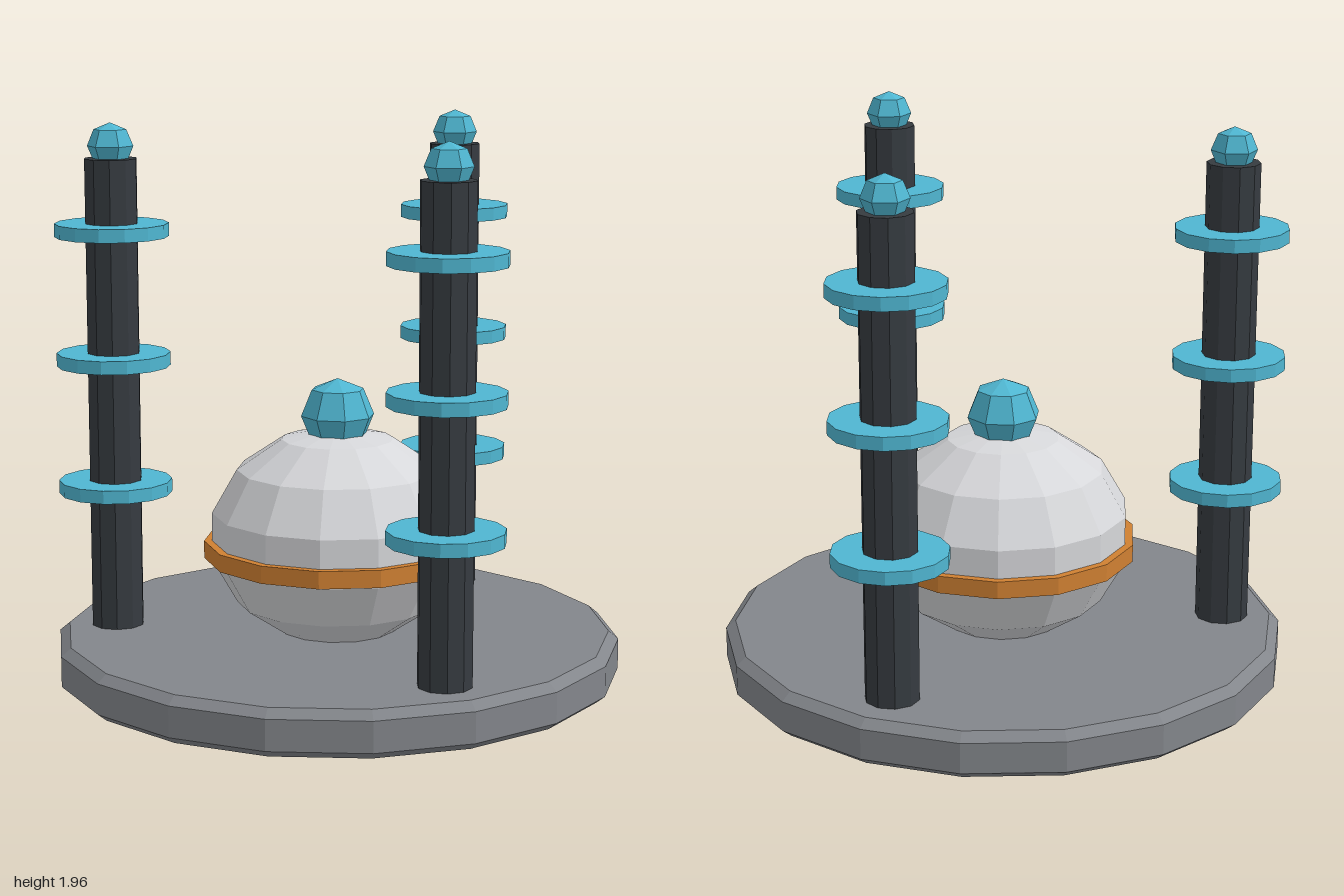
import * as THREE from 'three';

const paint = (name, color) => {
  const m = new THREE.MeshStandardMaterial({ color, flatShading: true });
  m.name = name;
  return m;
};

export function createModel() {
  const stone = paint('grey stone', 0x83868b);
  const iron = paint('dark iron', 0x363b40);
  const teal = paint('teal', 0x4fb6d1);
  const shell = paint('pale shell', 0xd6d7da);
  const copper = paint('copper', 0xcf8032);

  const model = new THREE.Group();
  model.name = 'coilPylonDevice';

  const add = (parent, name, geometry, material, y) => {
    const mesh = new THREE.Mesh(geometry, material);
    mesh.name = name;
    mesh.position.y = y;
    parent.add(mesh);
    return mesh;
  };
  // Faceted ball with a corner line facing the front
  const ball = (r, sides, rings) =>
    new THREE.SphereGeometry(r, sides, rings).rotateY(Math.PI / 2);

  // Round plinth with bevelled rims; its floor sits just above the column feet
  const profile = [[0, 0.002], [0.965, 0.002], [1, 0.03], [1, 0.138], [0.965, 0.167], [0, 0.167]]
    .map(([x, y]) => new THREE.Vector2(x, y));
  add(model, 'base', new THREE.LatheGeometry(profile, 18), stone, 0);

  // Central squashed sphere with its band and knob
  const core = new THREE.Group();
  core.name = 'core';
  model.add(core);
  add(core, 'coreSphere', ball(0.457, 14, 7).scale(1, 0.385 / 0.457, 1), shell, 0.507);
  add(core, 'coreBand', new THREE.CylinderGeometry(0.474, 0.474, 0.062, 14), copper, 0.461);
  add(core, 'coreKnob', ball(0.131, 8, 4), teal, 0.938);

  // Three columns evenly spaced around the core, each with three discs and a tip
  for (let i = 0; i < 3; i++) {
    const angle = Math.PI + i * Math.PI * 2 / 3;
    const column = new THREE.Group();
    column.name = 'column' + (i + 1);
    column.position.set(0.79 * Math.sin(angle), 0, 0.79 * Math.cos(angle));
    model.add(column);
    add(column, 'shaft', new THREE.CylinderGeometry(0.094, 0.094, 1.836, 10), iron, 0.918);
    for (const y of [0.673, 1.13, 1.587])
      add(column, 'disc', new THREE.CylinderGeometry(0.2, 0.2, 0.047, 14), teal, y);
    add(column, 'tip', ball(0.081, 6, 4), teal, 1.879);
  }
  return model;
}
